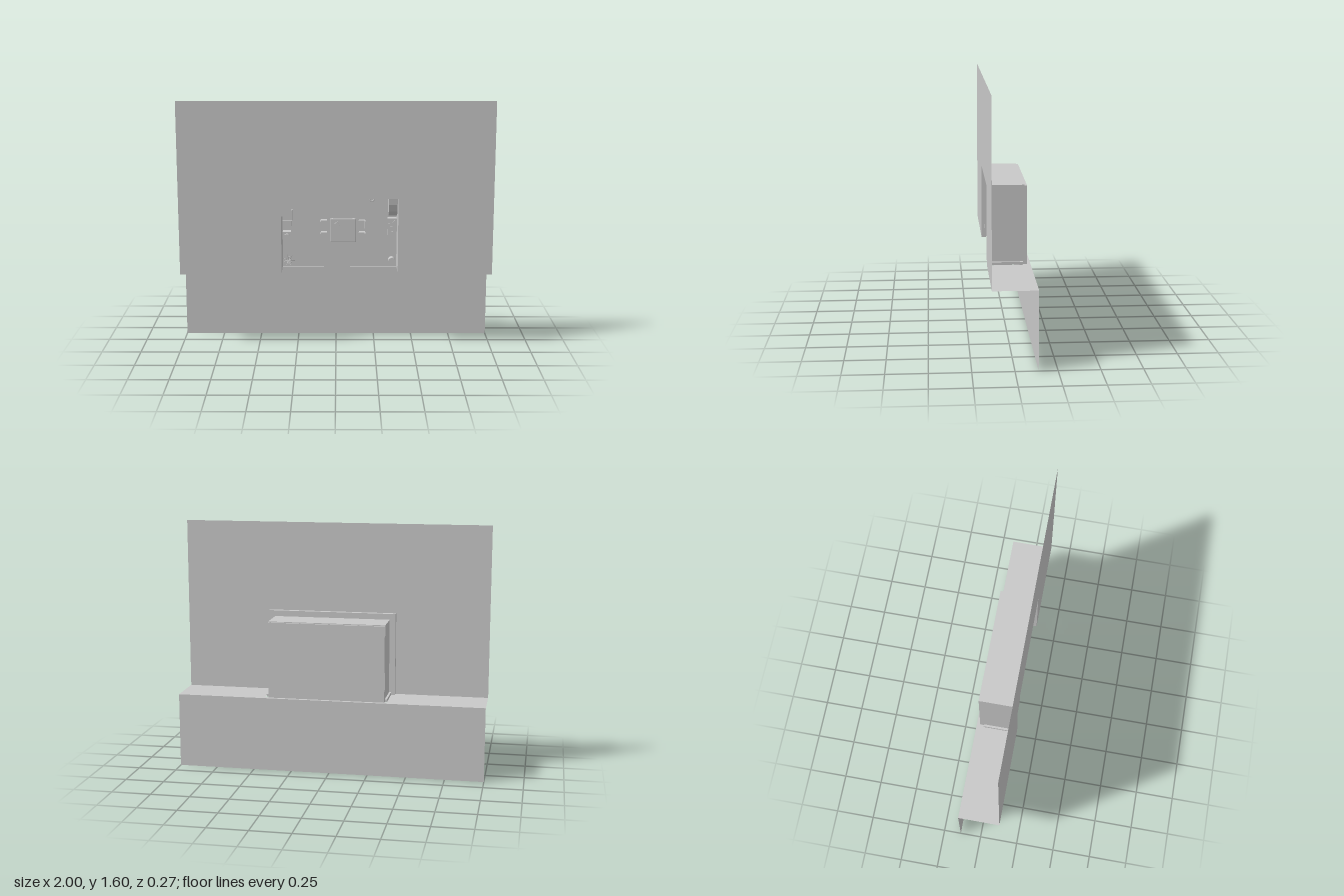
import * as THREE from 'three';
import { RoundedBoxGeometry } from 'three/addons/geometries/RoundedBoxGeometry.js';

export function createModel() {
  const model = new THREE.Group();
  model.name = 'roomInSteppedWall';
  const plaster = new THREE.MeshStandardMaterial({ color: 0xc8c8c8, side: THREE.DoubleSide });
  plaster.name = 'light grey plaster';
  const FLOOR = -0.1; // the room's floor plane; furniture rises towards +z

  function add(name, geometry, parent = model) {
    const mesh = new THREE.Mesh(geometry, plaster);
    mesh.name = name;
    parent.add(mesh);
    return mesh;
  }
  // box given by its limits on each axis
  function block(name, x0, x1, y0, y1, z0, z1, parent = model) {
    const mesh = add(name, new THREE.BoxGeometry(x1 - x0, y1 - y0, z1 - z0), parent);
    mesh.position.set((x0 + x1) / 2, (y0 + y1) / 2, (z0 + z1) / 2);
    return mesh;
  }
  // furniture box standing on the floor
  const unit = (name, x0, x1, y0, y1, h, parent) => block(name, x0, x1, y0, y1, FLOOR, FLOOR + h, parent);
  function drum(name, x, y, r, z0, z1, rTop = r) {
    const mesh = add(name, new THREE.CylinderGeometry(rTop, r, z1 - z0, 24));
    mesh.rotation.x = Math.PI / 2;
    mesh.position.set(x, y, (z0 + z1) / 2);
    return mesh;
  }
  const outline = (points) => new THREE.Shape(points.map(([x, y]) => new THREE.Vector2(x, y)));

  // Upper sheet with the room opening, ledge and lower sheet
  const upper = add('upperSheet', new THREE.ShapeGeometry(outline([
    [-1, 0.483], [-0.35, 0.483], [-0.35, 0.865], [-0.28, 0.865], [-0.28, 0.98],
    [0.4, 0.98], [0.4, 0.483], [1, 0.483], [1, 1.6], [-1, 1.6],
  ])));
  upper.position.z = 0.133;
  const ledge = add('ledge', new THREE.ShapeGeometry(outline([
    [-1, -0.133], [-0.37, -0.133], [-0.37, 0.1], [0.425, 0.1], [0.425, -0.133],
    [1, -0.133], [1, 0.137], [-1, 0.137],
  ])));
  ledge.rotation.x = -Math.PI / 2;
  ledge.position.y = 0.483;
  const lower = add('lowerSheet', new THREE.PlaneGeometry(2, 0.483));
  lower.position.set(0, 0.2415, -0.137);

  // Frame behind the opening
  const frame = add('openingFrame', new THREE.ExtrudeGeometry(outline([
    [-0.395, 0.477], [-0.352, 0.477], [-0.352, 0.98], [0.402, 0.98],
    [0.402, 0.477], [0.445, 0.477], [0.445, 1.02], [-0.395, 1.02],
  ]), { depth: 0.03, bevelEnabled: false }));
  frame.position.z = 0.102;

  // Room shell
  block('roomFloor', -0.355, 0.403, 0.478, 0.977, -0.115, FLOOR);
  block('leftRoomWall', 0.397, 0.403, 0.483, 0.982, FLOOR, 0.11);
  block('rightRoomWall', -0.356, -0.35, 0.483, 0.982, FLOOR, 0.11);
  block('topRoomWall', -0.356, 0.403, 0.976, 0.982, FLOOR, 0.11);
  block('leftSill', 0.403, 0.42, 0.483, 0.5, -0.09, 0.105);
  block('rightSill', -0.37, -0.356, 0.483, 0.5, -0.09, 0.105);

  // Low angled walls beside the entrance
  for (const [name, points] of [
    ['rightEntranceWall', [[-0.395, 0.457], [-0.1, 0.457], [-0.1, 0.393], [-0.08, 0.393], [-0.08, 0.477], [-0.395, 0.477]]],
    ['leftEntranceWall', [[0.445, 0.457], [0.113, 0.457], [0.113, 0.393], [0.093, 0.393], [0.093, 0.477], [0.445, 0.477]]],
  ]) {
    const wall = add(name, new THREE.ExtrudeGeometry(outline(points), { depth: 0.044, bevelEnabled: false }));
    wall.position.z = -0.136;
  }

  // Dining table with a tray
  const table = new THREE.Group();
  table.name = 'table';
  model.add(table);
  const top = add('tableTop', new RoundedBoxGeometry(0.17, 0.16, 0.014, 3, 0.006), table);
  top.position.set(0.045, 0.73, -0.057);
  for (const x of [-0.025, 0.115])
    for (const y of [0.665, 0.795]) unit('tableLeg', x - 0.006, x + 0.006, y - 0.006, y + 0.006, 0.04, table);
  const tray = block('tray', -0.014, 0.014, -0.014, 0.014, -0.05, -0.043, table);
  tray.position.x = 0.005;
  tray.position.y = 0.77;
  tray.rotation.z = 0.6;

  // Four chairs, two on each side
  for (const side of [-1, 1]) {
    for (const y of [0.69, 0.77]) {
      const chair = new THREE.Group();
      chair.name = 'chair';
      block('chairSeat', -0.022, 0.022, -0.02, 0.02, 0.024, 0.03, chair);
      block('chairBack', 0.017, 0.023, -0.023, 0.023, 0.024, 0.062, chair);
      for (const sy of [-1, 1]) {
        block('chairSide', -0.02, 0.02, sy * 0.021 - 0.003, sy * 0.021 + 0.003, 0, 0.033, chair);
      }
      chair.scale.x = side;
      chair.position.set(side < 0 ? -0.08 : 0.17, y, FLOOR);
      model.add(chair);
    }
  }

  // Cabinets along the top wall
  unit('cabinet', -0.185, -0.1, 0.92, 0.972, 0.07);
  unit('cabinet', -0.09, 0.025, 0.922, 0.97, 0.05);
  unit('cabinetLid', -0.08, -0.055, 0.928, 0.964, 0.056);
  unit('sideboard', 0.035, 0.2, 0.922, 0.97, 0.04);
  unit('screen', 0.055, 0.18, 0.944, 0.95, 0.08);
  const lamp = add('roundLamp', new THREE.TorusGeometry(0.014, 0.004, 8, 24));
  lamp.position.set(0.232, 0.945, -0.03);
  drum('lampStem', 0.232, 0.945, 0.008, FLOOR, -0.03);

  // Tall cupboard with a sloping face, stove and stool on the left wall
  const slope = add('tallCupboard', new THREE.ExtrudeGeometry(
    outline([[0.835, FLOOR], [0.958, FLOOR], [0.958, 0.04], [0.92, 0.035], [0.87, 0.01], [0.835, -0.03]]),
    { depth: 0.056, bevelEnabled: false }));
  slope.geometry.applyMatrix4(new THREE.Matrix4().makeBasis(
    new THREE.Vector3(0, 1, 0), new THREE.Vector3(0, 0, 1), new THREE.Vector3(1, 0, 0)));
  slope.position.x = 0.34;
  unit('stove', 0.336, 0.396, 0.69, 0.81, 0.05);
  for (const [x, y] of [[0.352, 0.77], [0.38, 0.785], [0.365, 0.75], [0.368, 0.715]])
    drum('burner', x, y, 0.011, -0.05, -0.045);
  drum('stool', 0.365, 0.523, 0.022, FLOOR, -0.05);

  // Kitchen units on the right wall
  unit('counter', -0.348, -0.285, 0.8, 0.862, 0.06);
  unit('sinkUnit', -0.348, -0.288, 0.735, 0.795, 0.06);
  unit('sinkBowl', -0.338, -0.3, 0.745, 0.78, 0.066);
  drum('tap', -0.325, 0.825, 0.008, -0.04, -0.02);
  drum('cup', -0.31, 0.845, 0.007, -0.04, -0.025);
  unit('smallCabinet', -0.348, -0.295, 0.665, 0.72, 0.05);
  drum('pot', -0.32, 0.692, 0.018, -0.05, -0.03);

  // Spiky potted plant
  drum('plantPot', -0.31, 0.528, 0.014, FLOOR, -0.07, 0.018);
  for (let i = 0; i < 11; i++) {
    const leaf = add('leaf', new THREE.ConeGeometry(0.006, 0.045, 4).translate(0, 0.0225, 0));
    leaf.position.set(-0.31, 0.528, -0.07);
    const a = i * 2.4, lift = 0.35 + (i % 3) * 0.4;
    leaf.quaternion.setFromUnitVectors(new THREE.Vector3(0, 1, 0),
      new THREE.Vector3(Math.cos(a), Math.sin(a), lift).normalize());
  }
  return model;
}
